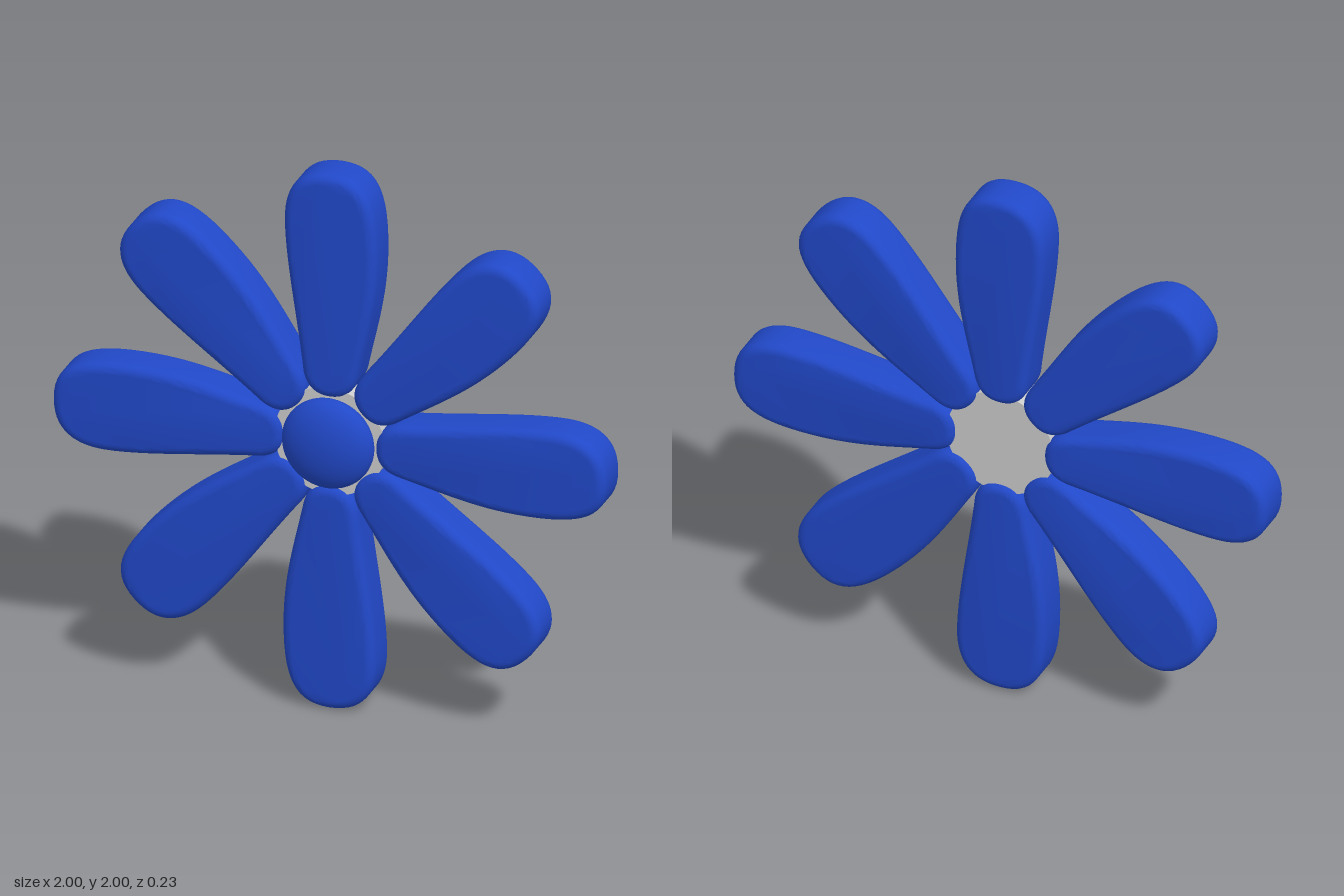
import * as THREE from 'three';
import { toCreasedNormals } from 'three/addons/utils/BufferGeometryUtils.js';

const BACK = -0.12, FRONT = 0.045, PETALS = 8, BEVEL = 0.035;

// Petal pointing along +y from the flower's centre, slightly fuller on one side
function petalGeometry() {
  const s = new THREE.Shape();
  s.moveTo(0, 0.165);
  s.bezierCurveTo(0.05, 0.165, 0.085, 0.19, 0.098, 0.25);
  s.bezierCurveTo(0.13, 0.4, 0.17, 0.53, 0.17, 0.71);
  s.bezierCurveTo(0.17, 0.91, 0.13, 1.0, 0, 1.0);
  s.bezierCurveTo(-0.12, 1.0, -0.165, 0.92, -0.165, 0.81);
  s.bezierCurveTo(-0.165, 0.66, -0.12, 0.45, -0.098, 0.25);
  s.bezierCurveTo(-0.085, 0.19, -0.05, 0.165, 0, 0.165);
  const g = new THREE.ExtrudeGeometry(s, {
    depth: FRONT - BACK - 2 * BEVEL,
    bevelThickness: BEVEL, bevelSize: BEVEL, bevelOffset: -BEVEL,
    bevelSegments: 6, curveSegments: 14,
  });
  g.translate(0, 0, BACK + BEVEL);
  return toCreasedNormals(g, 0.7);
}

export function createModel() {
  const blue = new THREE.MeshStandardMaterial({ color: 0x2148c8 });
  const grey = new THREE.MeshStandardMaterial({ color: 0xcccccc });
  const flower = new THREE.Group();
  flower.name = 'flower';

  // Ring of petals
  const geometry = petalGeometry();
  for (let i = 0; i < PETALS; i++) {
    const petal = new THREE.Mesh(geometry, blue);
    petal.name = 'petal' + (i + 1);
    petal.rotation.z = (i / PETALS) * Math.PI * 2;
    flower.add(petal);
  }

  // Flat disc that joins the petals behind the centre
  const hubBack = -0.1, hubFront = 0.025;
  const hub = new THREE.Mesh(new THREE.CylinderGeometry(0.2, 0.2, hubFront - hubBack, 48), grey);
  hub.name = 'hub';
  hub.rotation.x = Math.PI / 2;
  hub.position.z = (hubFront + hubBack) / 2;
  flower.add(hub);

  // Domed button at the front
  const button = new THREE.Mesh(new THREE.SphereGeometry(0.165, 48, 32), blue);
  button.name = 'centreButton';
  button.scale.z = 0.45;
  button.position.z = 0.04;
  flower.add(button);

  flower.position.y = 1;
  const model = new THREE.Group();
  model.add(flower);
  return model;
}
